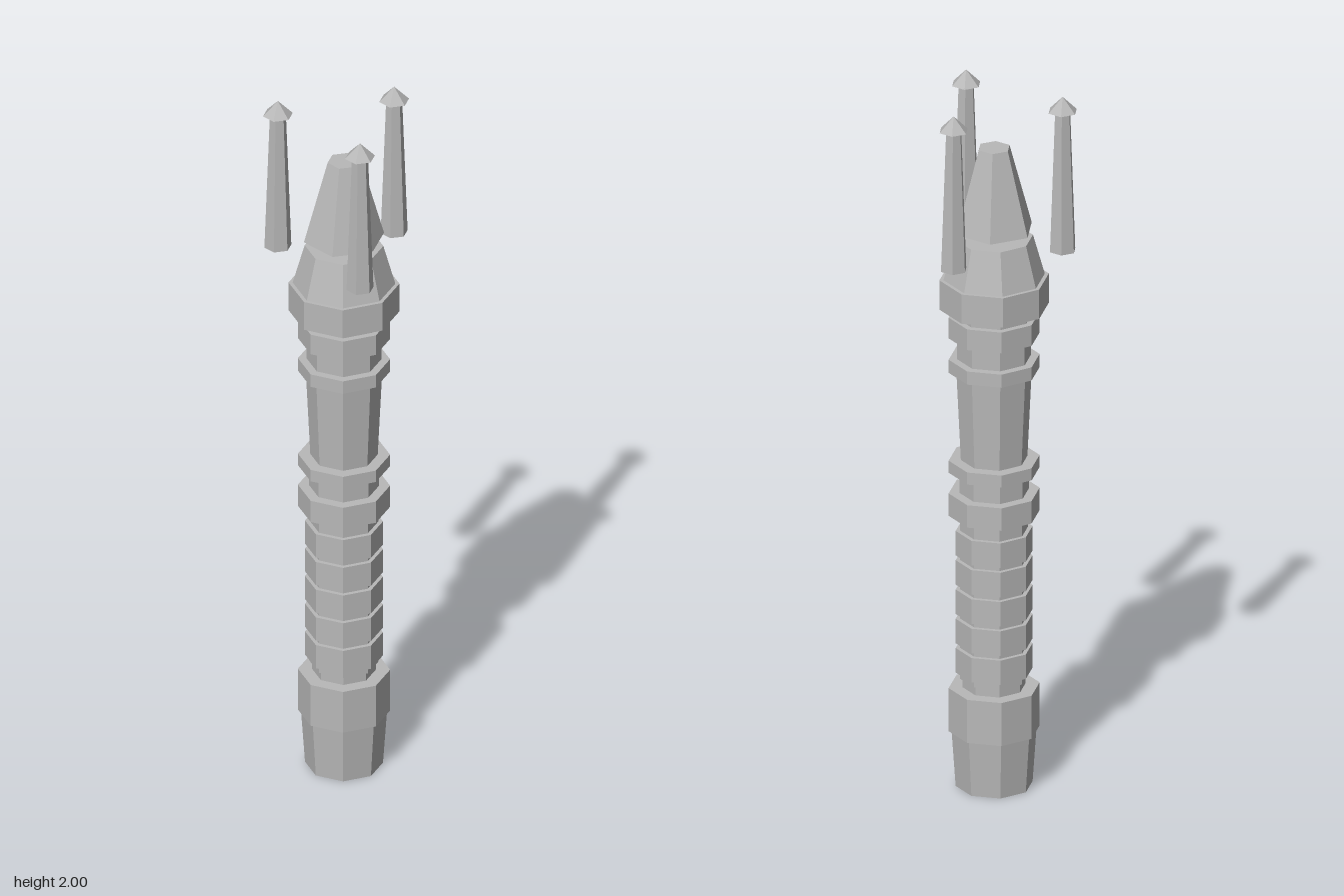
import * as THREE from 'three';

export function createModel() {
  const model = new THREE.Group();
  const grey = new THREE.MeshStandardMaterial({ color: 0xb8b8b8, flatShading: true });
  grey.name = 'grey metal';
  const axisX = -0.037;

  // Faceted frustum between two heights
  function prism(name, y0, y1, r0, r1 = r0, sides = 8, parent = model, x = axisX, z = 0) {
    const geo = new THREE.CylinderGeometry(r1, r0, y1 - y0, sides);
    const mesh = new THREE.Mesh(geo, grey);
    mesh.name = name;
    mesh.position.set(x, (y0 + y1) / 2, z);
    parent.add(mesh);
    return mesh;
  }

  // Pommel and lower neck
  prism('pommel', 0, 0.16, 0.104, 0.115);
  prism('pommelCollar', 0.16, 0.285, 0.123);
  prism('lowerNeck', 0.285, 0.31, 0.085);

  // Ribbed grip
  prism('gripCore', 0.31, 0.785, 0.092);
  const grip = new THREE.Group();
  grip.name = 'grip';
  model.add(grip);
  const ribs = 5, pitch = 0.085;
  for (let i = 0; i < ribs; i++) {
    const y = 0.315 + i * pitch;
    prism('gripRib', y + 0.014, y + pitch, 0.104, 0.104, 8, grip);
  }

  // Middle collars
  prism('middleCollar', 0.785, 0.85, 0.123);
  prism('middleNeck', 0.85, 0.91, 0.094);
  prism('middleRing', 0.91, 0.945, 0.123);

  // Upper shaft and its collars
  prism('upperShaft', 0.945, 1.2, 0.09, 0.102);
  prism('upperRing', 1.2, 1.238, 0.123);
  prism('upperNeck', 1.238, 1.3, 0.1);
  prism('upperCollar', 1.3, 1.36, 0.123);
  prism('headNeck', 1.36, 1.385, 0.105);

  // Head with the floating hexagonal tip
  prism('headCollar', 1.385, 1.47, 0.148);
  prism('headTaper', 1.47, 1.585, 0.137, 0.105);
  prism('tip', 1.61, 1.845, 0.11, 0.045, 6);

  // Three floating spires around the tip
  for (let i = 0; i < 3; i++) {
    const a = (i * Math.PI * 2) / 3;
    const spire = new THREE.Group();
    spire.name = 'spire';
    spire.position.set(axisX + 0.185 * Math.cos(a), 0, 0.183 * Math.sin(a));
    prism('spireShaft', 1.555, 1.96, 0.037, 0.022, 6, spire, 0);
    prism('spireCap', 1.958, 2, 0.041, 0, 6, spire, 0);
    model.add(spire);
  }
  return model;
}
